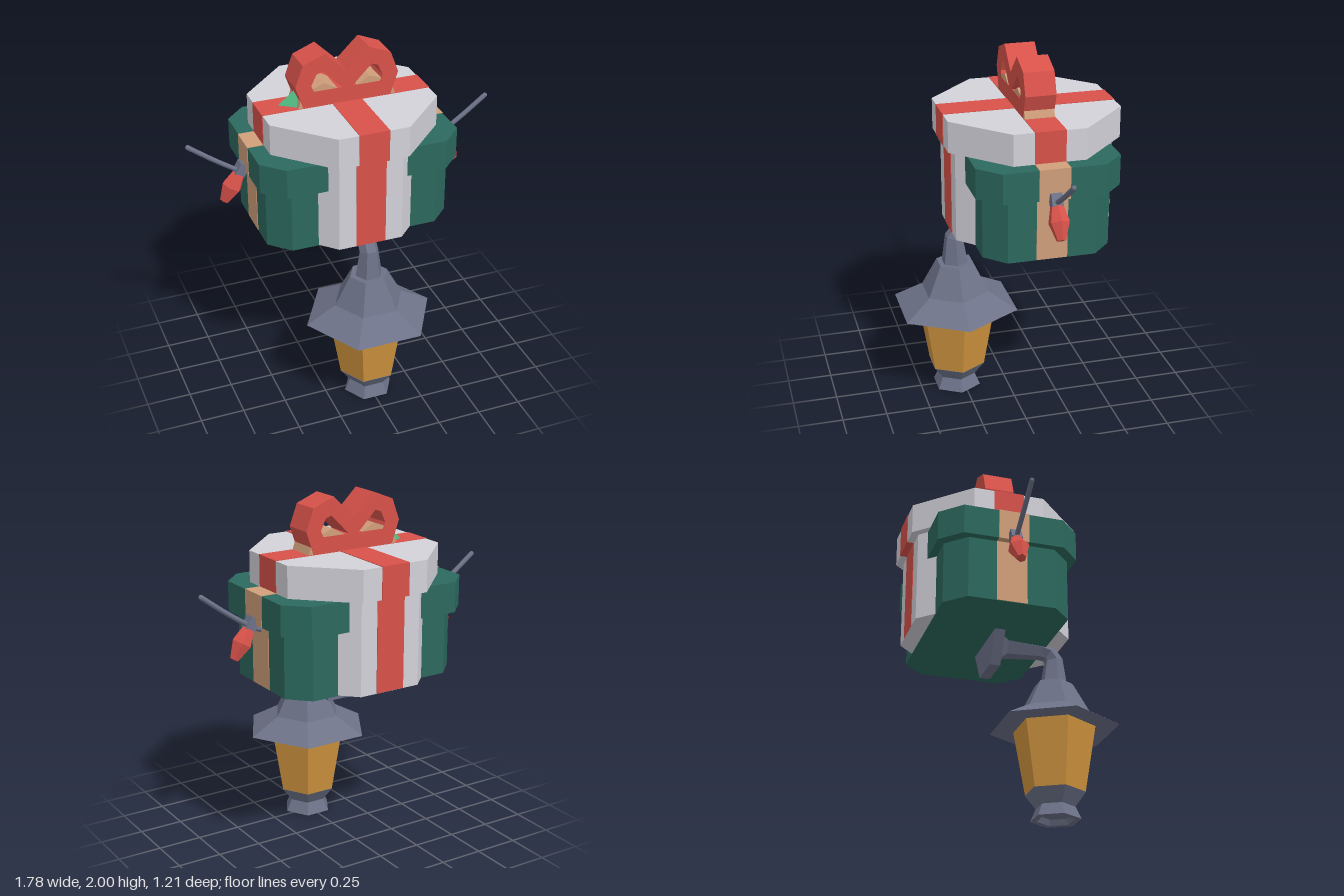
import * as THREE from 'three';

const mat = (name, color) => {
  const m = new THREE.MeshStandardMaterial({ color });
  m.name = name;
  return m;
};

// Faceted copy of a geometry: every face gets its own normal
function flat(geo) {
  const g = geo.index ? geo.toNonIndexed() : geo;
  g.computeVertexNormals();
  return g;
}

// Box with cut corners, standing from y0 to y1
function cutBox(hx, hz, cut, y0, y1) {
  const s = new THREE.Shape([
    [hx, hz - cut], [hx - cut, hz], [cut - hx, hz], [-hx, hz - cut],
    [-hx, cut - hz], [cut - hx, -hz], [hx - cut, -hz], [hx, cut - hz],
  ].map(([x, y]) => new THREE.Vector2(x, y)));
  const g = new THREE.ExtrudeGeometry(s, { depth: y1 - y0, bevelEnabled: false });
  return g.rotateX(-Math.PI / 2).translate(0, y0, 0);
}

// Six-sided turned shape with corners on the x axis
function hexLathe(points) {
  const pts = points.map(([r, y]) => new THREE.Vector2(r, y));
  return flat(new THREE.LatheGeometry(pts, 6, Math.PI / 6));
}

// Six-sided sweep in the yz plane; rings are [z, y, radius, tilt from up towards -z]
function hexSweep(rings) {
  const pos = [], index = [];
  for (const [z, y, r, tilt] of rings) {
    for (let j = 0; j < 6; j++) {
      const a = (j * Math.PI) / 3, n = -r * Math.sin(a);
      pos.push(r * Math.cos(a), y + n * Math.sin(tilt), z + n * Math.cos(tilt));
    }
  }
  for (let i = 0; i < rings.length - 1; i++) {
    for (let j = 0; j < 6; j++) {
      const a = i * 6 + j, b = i * 6 + ((j + 1) % 6);
      index.push(a, b, b + 6, a, b + 6, a + 6);
    }
  }
  const g = new THREE.BufferGeometry();
  g.setAttribute('position', new THREE.Float32BufferAttribute(pos, 3));
  g.setIndex(index);
  return flat(g);
}

// Outline given for the +x half, mirrored to the other side
function mirroredShape(half) {
  const other = half.filter(([x]) => x > 0).map(([x, y]) => [-x, y]).reverse();
  return new THREE.Shape([...half, ...other].map(([x, y]) => new THREE.Vector2(x, y)));
}

export function createModel() {
  const white = mat('white paper', 0xd3d2da);
  const red = mat('red ribbon', 0xd8524a);
  const green = mat('dark green paper', 0x2c695e);
  const tan = mat('tan ribbon', 0xd19f7b);
  const metal = mat('grey metal', 0x6d7288);
  const amber = mat('amber glass', 0xd1953f);
  const leaf = mat('bright green', 0x50b57f);

  const model = new THREE.Group();
  const add = (parent, name, geo, material) => {
    const m = new THREE.Mesh(geo, material);
    m.name = name;
    parent.add(m);
    return m;
  };

  // Gifts share one centre behind the lantern
  const gifts = new THREE.Group();
  gifts.name = 'gifts';
  gifts.position.z = -0.125;
  model.add(gifts);

  const band = (name, w, y0, y1, d, material) =>
    add(gifts, name, new THREE.BoxGeometry(w, y1 - y0, d).translate(0, (y0 + y1) / 2, 0), material);

  // Wide green gift
  add(gifts, 'greenBox', cutBox(0.53, 0.352, 0.11, 1.0, 1.36), green);
  add(gifts, 'greenLid', cutBox(0.57, 0.395, 0.115, 1.355, 1.525), green);
  band('tanBoxRibbon', 1.066, 1.002, 1.357, 0.17, tan);
  band('tanLidRibbon', 1.146, 1.354, 1.528, 0.17, tan);

  // Eight-sided white gift set through it
  const side = 2 - Math.SQRT2;
  add(gifts, 'whiteBox', cutBox(0.44, 0.44, 0.44 * side, 1.003, 1.53), white);
  add(gifts, 'whiteLid', cutBox(0.48, 0.48, 0.48 * side, 1.525, 1.7), white);
  band('redBoxRibbon', 0.17, 1.005, 1.527, 0.886, red);
  band('redLidRibbonLong', 0.17, 1.524, 1.703, 0.966, red);
  band('redLidRibbonCross', 0.966, 1.527, 1.7025, 0.17, red);

  // Red bow with two open loops
  const bow = mirroredShape([
    [0, 1.7], [0.25, 1.7], [0.295, 1.83], [0.25, 1.95], [0.125, 2.0], [0, 1.88],
  ]);
  for (const s of [1, -1]) {
    bow.holes.push(new THREE.Path([
      [0.03, 1.79], [0.14, 1.9], [0.175, 1.888], [0.205, 1.825], [0.19, 1.79],
    ].map(([x, y]) => new THREE.Vector2(s * x, y))));
  }
  add(gifts, 'redBow',
    new THREE.ExtrudeGeometry(bow, { depth: 0.17, bevelEnabled: false }).translate(0, 0, -0.085), red);

  // Smaller tan bow inside it
  const tanBow = mirroredShape([
    [0, 1.7], [0.28, 1.7], [0.265, 1.745], [0.2, 1.805], [0.13, 1.83], [0, 1.76],
  ]);
  add(gifts, 'tanBow',
    new THREE.ExtrudeGeometry(tanBow, { depth: 0.166, bevelEnabled: false }).translate(0, 0, -0.083), tan);

  // Small green gem beside the bow
  add(gifts, 'greenGem',
    flat(new THREE.OctahedronGeometry(1).scale(0.1, 0.08, 0.07)).translate(-0.27, 1.7, 0), leaf);

  // Wire and hanging bulb on each side
  for (const s of [1, -1]) {
    const wire = new THREE.CatmullRomCurve3([
      [0.5, 1.305], [0.58, 1.34], [0.72, 1.43], [0.875, 1.545],
    ].map(([x, y]) => new THREE.Vector3(s * x, y, 0)));
    add(gifts, s > 0 ? 'leftWire' : 'rightWire', new THREE.TubeGeometry(wire, 6, 0.014, 8), metal);
    add(gifts, 'wireEnd', new THREE.SphereGeometry(0.014, 8, 6).translate(s * 0.875, 1.545, 0), metal);

    const light = new THREE.Group();
    light.name = s > 0 ? 'leftLight' : 'rightLight';
    light.position.set(s * 0.603, 1.335, 0);
    light.rotation.z = s * Math.PI / 6;
    gifts.add(light);
    add(light, 'socket', new THREE.BoxGeometry(0.056, 0.07, 0.06).translate(0, 0.03, 0), metal);
    add(light, 'bulb', hexLathe([
      [0, -0.185], [0.026, -0.18], [0.058, -0.085], [0.036, 0], [0, 0.002],
    ]), red);
  }

  // Lantern hanging in front
  const lantern = new THREE.Group();
  lantern.name = 'lantern';
  lantern.position.z = 0.285;
  model.add(lantern);
  add(lantern, 'lanternFoot', hexLathe([
    [0, 0.03], [0.09, 0.03], [0.105, 0], [0.142, 0], [0.11, 0.07], [0.17, 0.15], [0, 0.15],
  ]), metal);
  add(lantern, 'glass', hexLathe([[0.168, 0.15], [0.233, 0.525]]), amber);
  add(lantern, 'lanternRoof', hexLathe([
    [0, 0.525], [0.368, 0.525], [0.2, 0.62], [0.11, 0.79], [0, 0.79],
  ]), metal);

  // Bent arm flaring into a six-sided mount under the gifts
  add(model, 'arm', hexSweep([
    [0.285, 0.785, 0.078, 0], [0.287, 0.94, 0.055, 0.25], [0.255, 0.985, 0.052, 1.1],
    [0.2, 0.997, 0.055, 1.57], [0, 1.0, 0.075, 1.57], [-0.065, 1.0, 0.14, 1.57],
  ]), metal);
  add(model, 'mountPlate',
    flat(new THREE.CylinderGeometry(0.2, 0.2, 0.06, 6, 1, false, Math.PI / 6))
      .rotateX(Math.PI / 2).translate(0, 1.0, -0.09), metal);

  return model;
}
